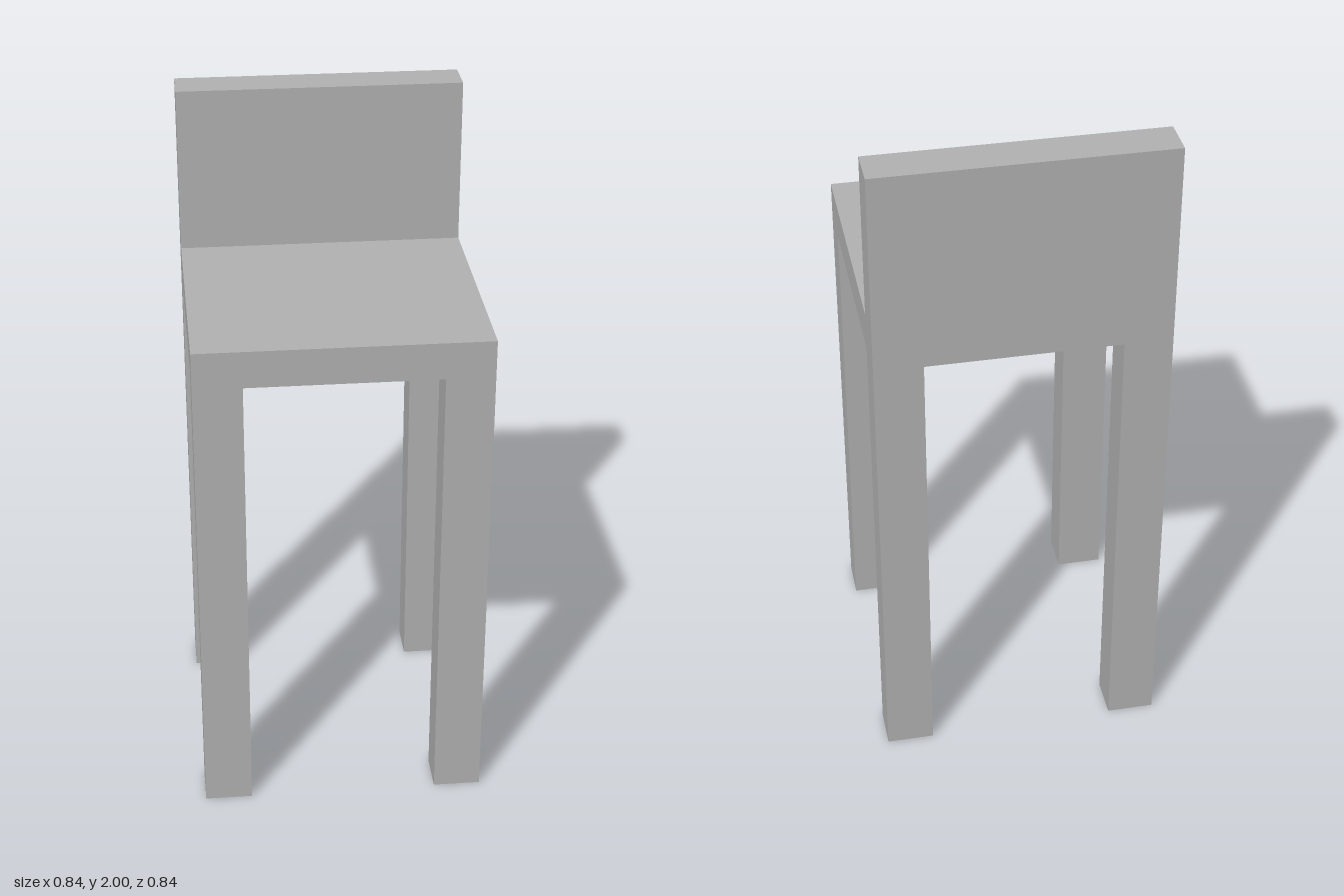
import * as THREE from 'three';

export function createModel() {
  const model = new THREE.Group();
  model.name = 'chair';

  const grey = new THREE.MeshStandardMaterial({ color: 0xb2b2b2 });
  grey.name = 'grey';

  // Box given by its lower and upper corners
  function addBox(name, [x0, y0, z0], [x1, y1, z1]) {
    const mesh = new THREE.Mesh(new THREE.BoxGeometry(x1 - x0, y1 - y0, z1 - z0), grey);
    mesh.name = name;
    mesh.position.set((x0 + x1) / 2, (y0 + y1) / 2, (z0 + z1) / 2);
    model.add(mesh);
  }

  const half = 0.42; // half of the square footprint
  const inX = 0.28; // inner face of the legs, across
  const inZ = 0.30; // inner face of the legs, front to back
  const seatBottom = 1.4;
  const seatTop = 1.51;

  // Seat slab butts against the backrest, which starts level with its underside
  addBox('seat', [-half, seatBottom, -inZ], [half, seatTop, half]);
  addBox('backrest', [-half, seatBottom, -half], [half, 2, -inZ]);

  // Four square-cut legs, flush with the outer faces
  for (const [side, x] of [['Right', -half], ['Left', inX]]) {
    for (const [end, z] of [['front', inZ], ['back', -half]]) {
      addBox(`${end}${side}Leg`, [x, 0, z], [x + half - inX, seatBottom, z + half - inZ]);
    }
  }

  return model;
}
